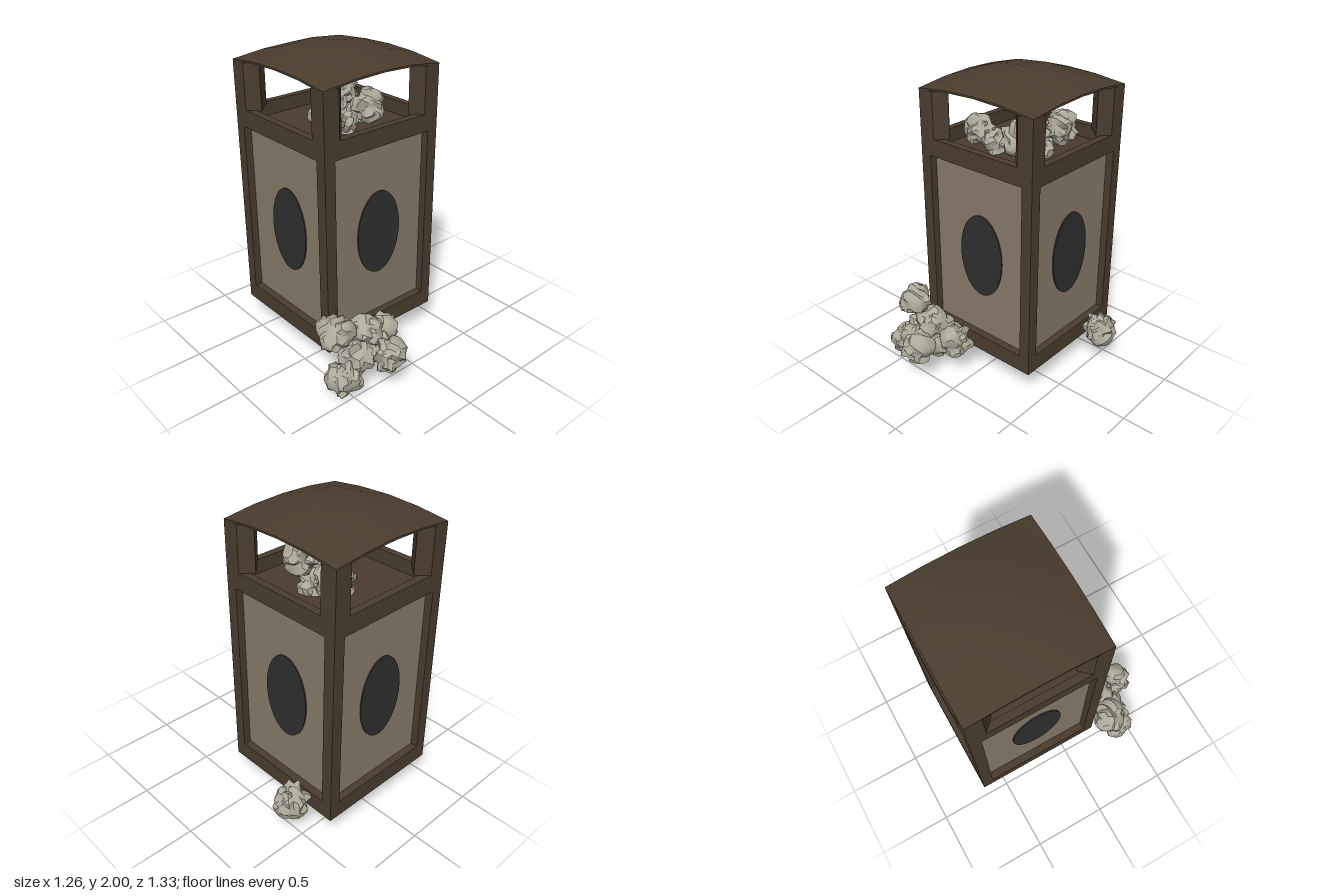
import * as THREE from 'three';
import { toCreasedNormals, mergeVertices } from 'three/addons/utils/BufferGeometryUtils.js';

export function createModel() {
  const mat = (name, color, side = THREE.FrontSide) => {
    const m = new THREE.MeshStandardMaterial({ color, side });
    m.name = name;
    return m;
  };
  const frameMat = mat('darkBrownFrame', 0x4a3c2d);
  const panelMat = mat('tanPanel', 0x877a69);
  const ovalMat = mat('charcoalOval', 0x2f2f2f);
  const paperMat = mat('crumpledPaper', 0xaeaa9a);

  const model = new THREE.Group();
  model.name = 'litterBin';
  const add = (parent, name, geo, material, x = 0, y = 0, z = 0) => {
    const m = new THREE.Mesh(geo, material);
    m.name = name;
    m.position.set(x, y, z);
    parent.add(m);
    return m;
  };

  const H = 0.445; // half width of the bin
  const bin = new THREE.Group();
  bin.name = 'bin';
  bin.position.set(-0.03, 0, -0.215);
  model.add(bin);

  // Side frame: a plate with a window for the recessed panel
  const rect = (C, x, y0, y1) => {
    const s = new C();
    s.moveTo(-x, y0).lineTo(x, y0).lineTo(x, y1).lineTo(-x, y1).closePath();
    return s;
  };
  const plate = rect(THREE.Shape, H, 0.165, 1.57);
  plate.holes.push(rect(THREE.Path, 0.37, 0.28, 1.455));
  const plateGeo = new THREE.ExtrudeGeometry(plate, { depth: 0.05, bevelEnabled: false });
  const panelGeo = new THREE.BoxGeometry(0.78, 1.2, 0.02);

  // Oval plate on each panel
  const oval = new THREE.Shape();
  oval.absellipse(0, 0, 0.173, 0.285, 0, Math.PI * 2);
  const ovalGeo = new THREE.ExtrudeGeometry(oval, { depth: 0.008, bevelEnabled: false, curveSegments: 24 });

  // Corner post above the body, chamfered on its inner flanks
  const post = new THREE.Shape([[0, 0], [0.11, 0], [0.18, 0.07], [0.07, 0.18], [0, 0.11]]
    .map(([x, y]) => new THREE.Vector2(x - H, y - H)));
  const postGeo = new THREE.ExtrudeGeometry(post, { depth: 0.305, bevelEnabled: false });
  postGeo.rotateX(-Math.PI / 2);

  for (let i = 0; i < 4; i++) {
    const side = new THREE.Group();
    side.name = 'side' + (i + 1);
    side.rotation.y = i * Math.PI / 2;
    bin.add(side);
    add(side, 'sideFrame', plateGeo, frameMat, 0, 0, H - 0.05);
    add(side, 'sidePanel', panelGeo, panelMat, 0, 0.8675, H - 0.06);
    add(side, 'ovalPlate', ovalGeo, ovalMat, 0.008, 0.855, H - 0.05);
    add(side, 'cornerPost', postGeo, frameMat, 0, 1.566, 0);
  }
  add(bin, 'base', new THREE.BoxGeometry(0.84, 0.1, 0.84), frameMat, 0, 0.2155, 0);
  add(bin, 'innerFloor', new THREE.BoxGeometry(0.8, 0.02, 0.8), frameMat, 0, 1.47, 0);

  // Roof: a thin square sheet pillowed up toward the middle
  const roofGeo = new THREE.BoxGeometry(2 * H, 0.012, 2 * H, 4, 1, 4);
  const p = roofGeo.attributes.position;
  const bow = (v) => 1 - (v / H) ** 2;
  for (let i = 0; i < p.count; i++) {
    const gx = bow(p.getX(i)), gz = bow(p.getZ(i));
    p.setY(i, p.getY(i) + 1.868 + 0.034 * (gx + gz) + 0.058 * gx * gz);
  }
  add(bin, 'roof', toCreasedNormals(roofGeo, 0.7), frameMat);

  // Crumpled paper balls: spheres with seeded dents and folds
  const crumple = (r, seed) => {
    let s = seed * 7919 + 13;
    const rnd = () => (s = (s * 16807) % 2147483647) / 2147483647;
    for (let i = 0; i < 5; i++) rnd();
    let g = new THREE.IcosahedronGeometry(1, 3);
    g.deleteAttribute('uv');
    g.deleteAttribute('normal');
    g = mergeVertices(g, 1e-4);
    const folds = Array.from({ length: 9 }, () => ({
      n: new THREE.Vector3(rnd() - 0.5, rnd() - 0.5, rnd() - 0.5).normalize(),
      o: rnd() * 1.4 - 0.7,
    }));
    const q = g.attributes.position, v = new THREE.Vector3();
    for (let i = 0; i < q.count; i++) {
      v.fromBufferAttribute(q, i);
      let k = 1.08 + (rnd() - 0.5) * 0.1;
      for (const f of folds) k -= 0.2 * Math.max(0, 1 - Math.abs(v.dot(f.n) - f.o) / 0.22);
      v.multiplyScalar(r * Math.max(0.72, k));
      q.setXYZ(i, v.x, v.y, v.z);
    }
    return toCreasedNormals(g, 0.6);
  };
  const heap = (name, balls, seed) => {
    const g = new THREE.Group();
    g.name = name;
    model.add(g);
    balls.forEach(([x, y, z, r], i) => add(g, 'paperBall', crumple(r, seed + i), paperMat, x, y, z));
  };
  heap('litterPile', [
    [-0.51, 0.395, 0.335, 0.12], [-0.51, 0.115, 0.43, 0.12], [-0.26, 0.23, 0.55, 0.115],
    [-0.29, 0.32, 0.36, 0.12], [-0.13, 0.24, 0.34, 0.12], [-0.4, 0.22, 0.41, 0.12],
    [-0.25, 0.21, 0.37, 0.12],
  ], 1);
  heap('strayLitter', [[0.515, 0.24, -0.415, 0.118]], 21);
  heap('litterInside', [
    [0.15, 1.61, -0.38, 0.11], [0.08, 1.62, -0.03, 0.11], [-0.24, 1.59, -0.05, 0.105],
    [-0.07, 1.5, -0.2, 0.11], [0.04, 1.52, -0.31, 0.1], [0.12, 1.5, -0.19, 0.1],
    [-0.1, 1.52, -0.07, 0.1],
  ], 41);
  return model;
}
